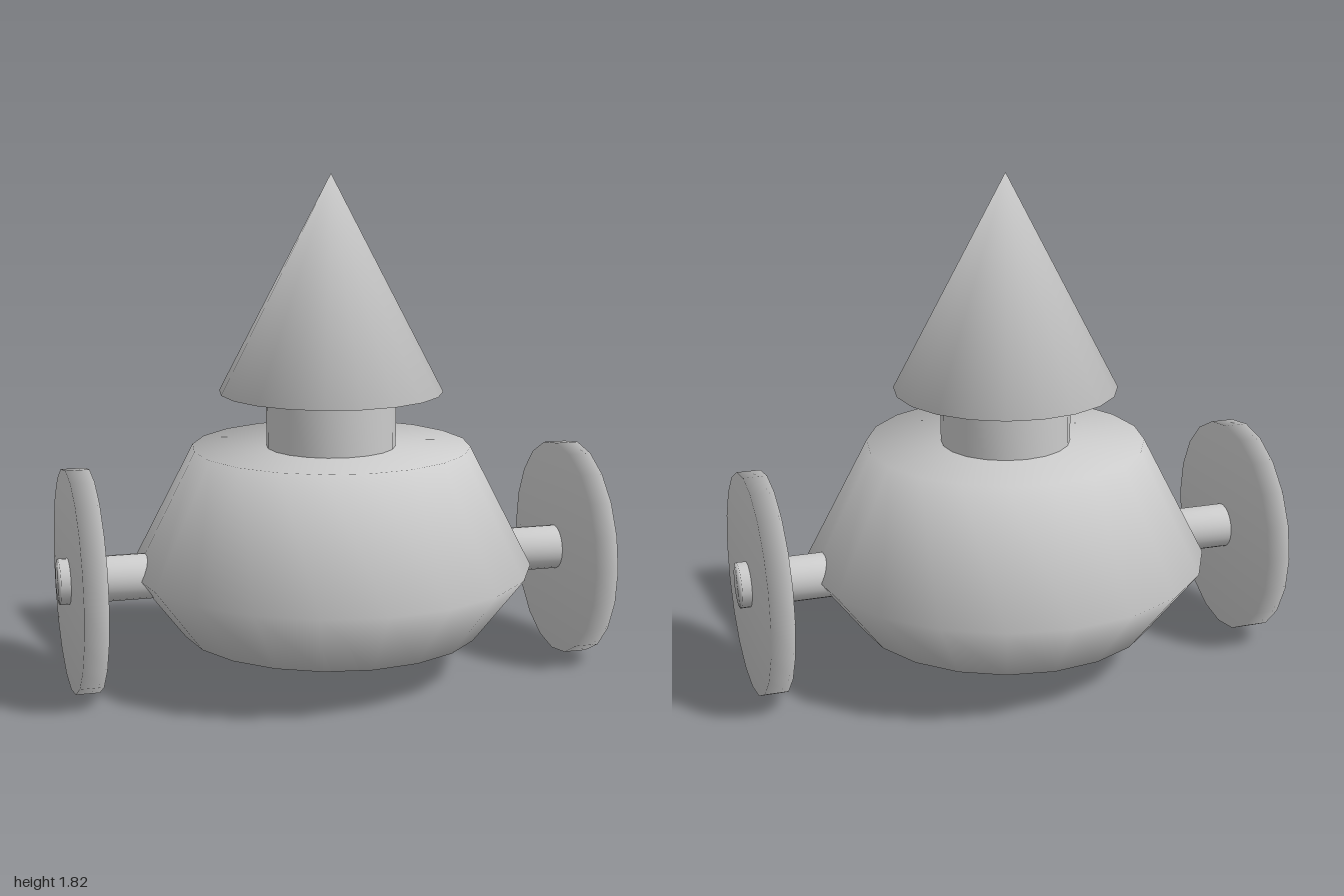
import * as THREE from 'three';
import { mergeVertices } from 'three/addons/utils/BufferGeometryUtils.js';

const SIDES = 20;
const material = new THREE.MeshStandardMaterial({ color: 0xcccccc });

// Weld all corners so shading runs smoothly over every edge
function welded(geometry) {
  geometry.deleteAttribute('normal');
  geometry.deleteAttribute('uv');
  const result = mergeVertices(geometry, 1e-4);
  result.computeVertexNormals();
  return result;
}

// Closed turned solid from [radius, y] pairs, listed from bottom to top
function turned(name, profile) {
  const points = profile.map(([r, y]) => new THREE.Vector2(r, y));
  const mesh = new THREE.Mesh(welded(new THREE.LatheGeometry(points, SIDES)), material);
  mesh.name = name;
  return mesh;
}

// Disc or rod lying along x, between two x positions
function alongX(name, radius, x0, x1) {
  const geometry = new THREE.CylinderGeometry(radius, radius, Math.abs(x1 - x0), SIDES);
  geometry.rotateZ(Math.PI / 2);
  const mesh = new THREE.Mesh(welded(geometry), material);
  mesh.name = name;
  mesh.position.set((x0 + x1) / 2, 0.4, 0);
  return mesh;
}

export function createModel() {
  const group = new THREE.Group();
  group.name = 'wheeledFigure';

  // Double-tapered body, neck and pointed head
  group.add(turned('body', [[0, 0.16], [0.545, 0.16], [0.73, 0.4], [0.505, 0.84], [0, 0.84]]));
  group.add(turned('neck', [[0.235, 0.82], [0.235, 1.06]]));
  group.add(turned('head', [[0, 1.04], [0.405, 1.04], [0, 1.82]]));

  // Wheel and axle stub on each side
  for (const [side, s] of [['left', 1], ['right', -1]]) {
    group.add(alongX(side + 'Axle', 0.082, s * 0.6, s));
    group.add(alongX(side + 'Wheel', 0.4, s * 0.88, s * 0.965));
  }
  return group;
}
